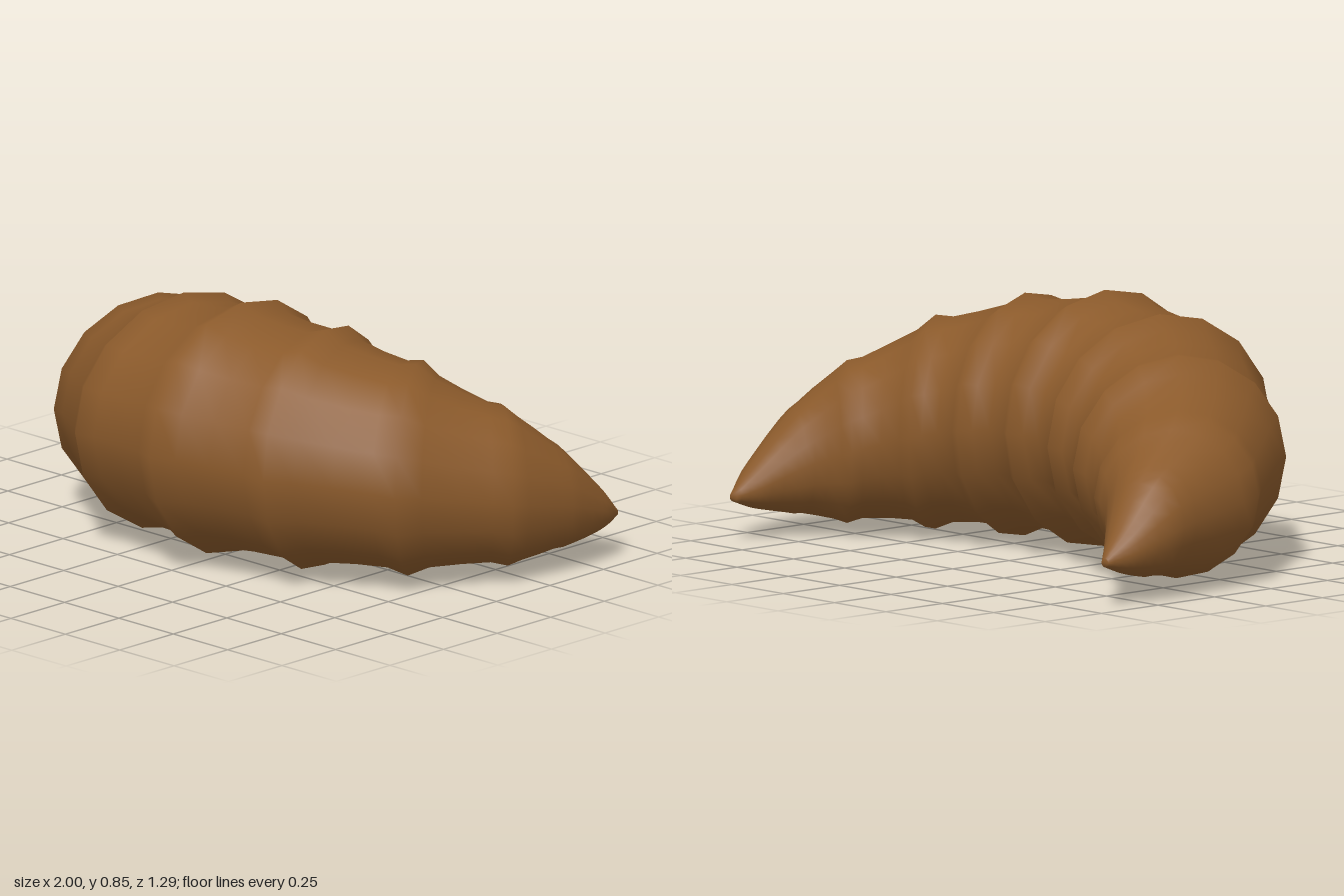
import * as THREE from 'three';

const SIDES = 16;

// Ridges and end sections: outer x, z, inner x, z, bottom y, top y
const SECTIONS = [
  [-0.92, -0.645, -0.89, -0.65, 0.13, 0.16],
  [-0.97, -0.55, -0.83, -0.585, 0.1, 0.26],
  [-1.0, -0.38, -0.73, -0.49, 0.07, 0.42],
  [-0.94, 0.0, -0.6, -0.42, 0.03, 0.57],
  [-0.7, 0.34, -0.42, -0.35, 0.01, 0.72],
  [-0.36, 0.585, -0.23, -0.29, 0.005, 0.81],
  [0.04, 0.645, -0.02, -0.28, 0.0, 0.85],
  [0.45, 0.53, 0.2, -0.3, 0.005, 0.81],
  [0.8, 0.27, 0.4, -0.33, 0.01, 0.72],
  [0.98, -0.1, 0.6, -0.4, 0.03, 0.57],
  [1.0, -0.36, 0.74, -0.47, 0.07, 0.42],
  [0.97, -0.55, 0.83, -0.575, 0.1, 0.26],
  [0.92, -0.65, 0.89, -0.645, 0.13, 0.16],
];

function curveOf(pick) {
  return new THREE.CatmullRomCurve3(SECTIONS.map(pick), false, 'catmullrom', 0.5);
}

function bodyGeometry() {
  const outer = curveOf((s) => new THREE.Vector3(s[0], 0, s[1]));
  const inner = curveOf((s) => new THREE.Vector3(s[2], 0, s[3]));
  const height = curveOf((s) => new THREE.Vector3(s[4], s[5], 0));
  const last = SECTIONS.length - 1;
  const rings = [];

  // Each gap dips between its two ridges; the ends taper smoothly
  for (let i = 0; i < last; i++) {
    const fromMiddle = Math.abs(i + 0.5 - last / 2);
    const depth = fromMiddle < 3 ? 0.085 : fromMiddle < 4 ? 0.04 : 0;
    for (const [f, dip] of [[0, 0], [0.2, 0.85], [0.5, 1], [0.8, 0.85]]) {
      rings.push([(i + f) / last, 1 - depth * dip]);
    }
  }
  rings.push([1, 1]);

  const positions = [];
  const index = [];
  for (const [t, scale] of rings) {
    const o = outer.getPoint(t);
    const n = inner.getPoint(t);
    const h = height.getPoint(t);
    const centre = o.clone().add(n).multiplyScalar(0.5).setY((h.x + h.y) / 2);
    const across = o.sub(n).multiplyScalar(scale / 2);
    const rise = ((h.y - h.x) / 2) * scale;
    for (let j = 0; j < SIDES; j++) {
      const a = (j / SIDES) * Math.PI * 2;
      const p = centre.clone().addScaledVector(across, Math.cos(a));
      positions.push(p.x, p.y + rise * Math.sin(a), p.z);
    }
  }

  // Skin between neighbouring rings
  for (let i = 0; i < rings.length - 1; i++) {
    for (let j = 0; j < SIDES; j++) {
      const k = (j + 1) % SIDES;
      const a = i * SIDES + j;
      const c = i * SIDES + k;
      index.push(a, a + SIDES, c, a + SIDES, c + SIDES, c);
    }
  }

  // Small closing fans at the two tips
  const end = (rings.length - 1) * SIDES;
  for (let j = 1; j < SIDES - 1; j++) {
    index.push(0, j, j + 1, end, end + j + 1, end + j);
  }

  const geometry = new THREE.BufferGeometry();
  geometry.setAttribute('position', new THREE.Float32BufferAttribute(positions, 3));
  geometry.setIndex(index);
  geometry.computeVertexNormals();
  return geometry;
}

export function createModel() {
  const crust = new THREE.MeshStandardMaterial({ color: 0x8b5a2b });
  crust.name = 'bakedCrust';
  const body = new THREE.Mesh(bodyGeometry(), crust);
  body.name = 'ridgedPastryBody';

  const group = new THREE.Group();
  group.name = 'croissant';
  group.add(body);
  return group;
}
